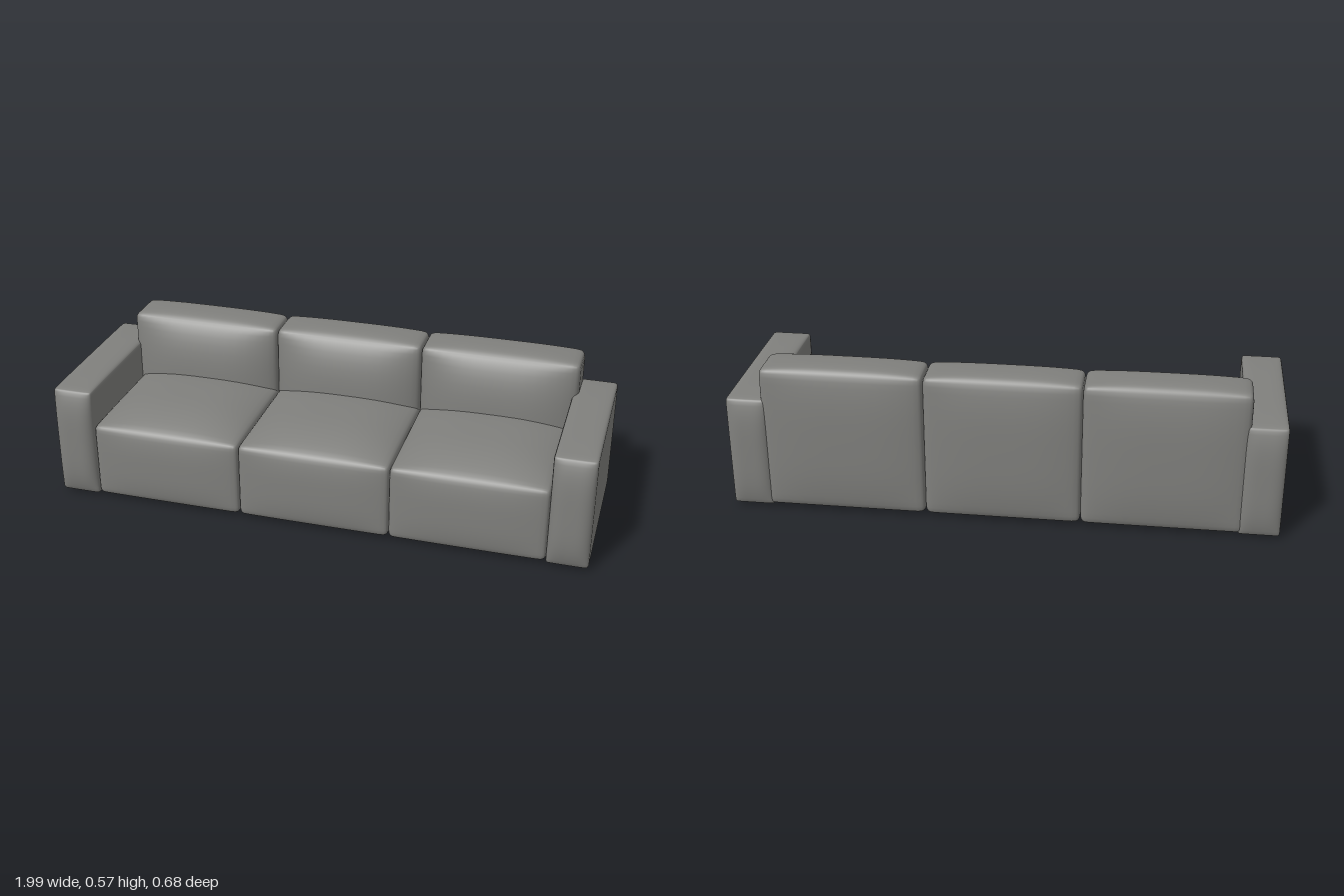
import * as THREE from 'three';
import { mergeVertices } from 'three/addons/utils/BufferGeometryUtils.js';

// Upholstered block: box between min and max, rounded edges, faces swollen outwards.
// bulge maps '+x', '-x', '+y', ... to the swelling at the middle of that face.
function puff(min, max, radius, bulge = {}, power = 4, segments = 20) {
  const half = max.map((v, i) => (v - min[i]) / 2);
  const centre = max.map((v, i) => (v + min[i]) / 2);
  const geometry = new THREE.BoxGeometry(2, 2, 2, segments, segments, segments);
  geometry.deleteAttribute('uv');
  geometry.deleteAttribute('normal');
  const position = geometry.attributes.position;
  const axes = ['x', 'y', 'z'];
  for (let i = 0; i < position.count; i++) {
    // Crowd the grid towards the edges, then round them
    const p = [0, 1, 2].map((a) => half[a] * Math.sin(position.getComponent(i, a) * Math.PI / 2));
    const core = p.map((v, a) => THREE.MathUtils.clamp(v, radius - half[a], half[a] - radius));
    const out = new THREE.Vector3(...p.map((v, a) => v - core[a])).setLength(radius).toArray();
    const q = core.map((v, a) => v + out[a]);
    const u = q.map((v, a) => v / half[a]);
    for (let a = 0; a < 3; a++) {
      const amount = bulge[(u[a] < 0 ? '-' : '+') + axes[a]] || 0;
      const fall = [0, 1, 2].reduce((f, b) => (b === a ? f : f * (1 - Math.min(1, Math.abs(u[b])) ** power)), 1);
      position.setComponent(i, a, centre[a] + q[a] + amount * u[a] * fall);
    }
  }
  const merged = mergeVertices(geometry, 1e-5);
  merged.computeVertexNormals();
  return merged;
}

export function createModel() {
  const sofa = new THREE.Group();
  sofa.name = 'sofa';
  const fabric = new THREE.MeshStandardMaterial({ color: 0x80807d });
  fabric.name = 'grey fabric';

  const add = (name, geometry) => {
    const mesh = new THREE.Mesh(geometry, fabric);
    mesh.name = name;
    sofa.add(mesh);
  };

  // Three seat blocks, each with a back cushion reaching the floor behind it
  const seams = [-0.847, -0.285, 0.279, 0.847];
  const backEnds = [-0.868, -0.285, 0.279, 0.868];
  ['right', 'middle', 'left'].forEach((side, i) => {
    add(side + 'Seat', puff([seams[i], 0.014, -0.25], [seams[i + 1], 0.303, 0.316], 0.022,
      { '+y': 0.048, '+z': 0.016 }, 3));
    add(side + 'Back', puff([backEnds[i], 0.014, -0.318], [backEnds[i + 1], 0.558, -0.155], 0.024,
      { '+y': 0.014, '-z': 0.022, '+z': 0.056 }, 3.2));
  });

  // Arms: flat sides, swollen front and rear ends, small feet below
  for (const s of [1, -1]) {
    const side = s > 0 ? 'left' : 'right';
    const span = [s * 0.846, s * 0.997].sort((a, b) => a - b);
    add(side + 'Arm', puff([span[0], 0.011, -0.314], [span[1], 0.438, 0.314], 0.012,
      { '+y': 0.008, '+z': 0.026, '-z': 0.02 }));
    for (const z of [0.27, -0.26]) {
      add(side + (z > 0 ? 'FrontFoot' : 'BackFoot'),
        puff([s * 0.922 - 0.04, 0, z - 0.022], [s * 0.922 + 0.04, 0.024, z + 0.022], 0.01, {}, 4, 8));
    }
  }
  return sofa;
}
